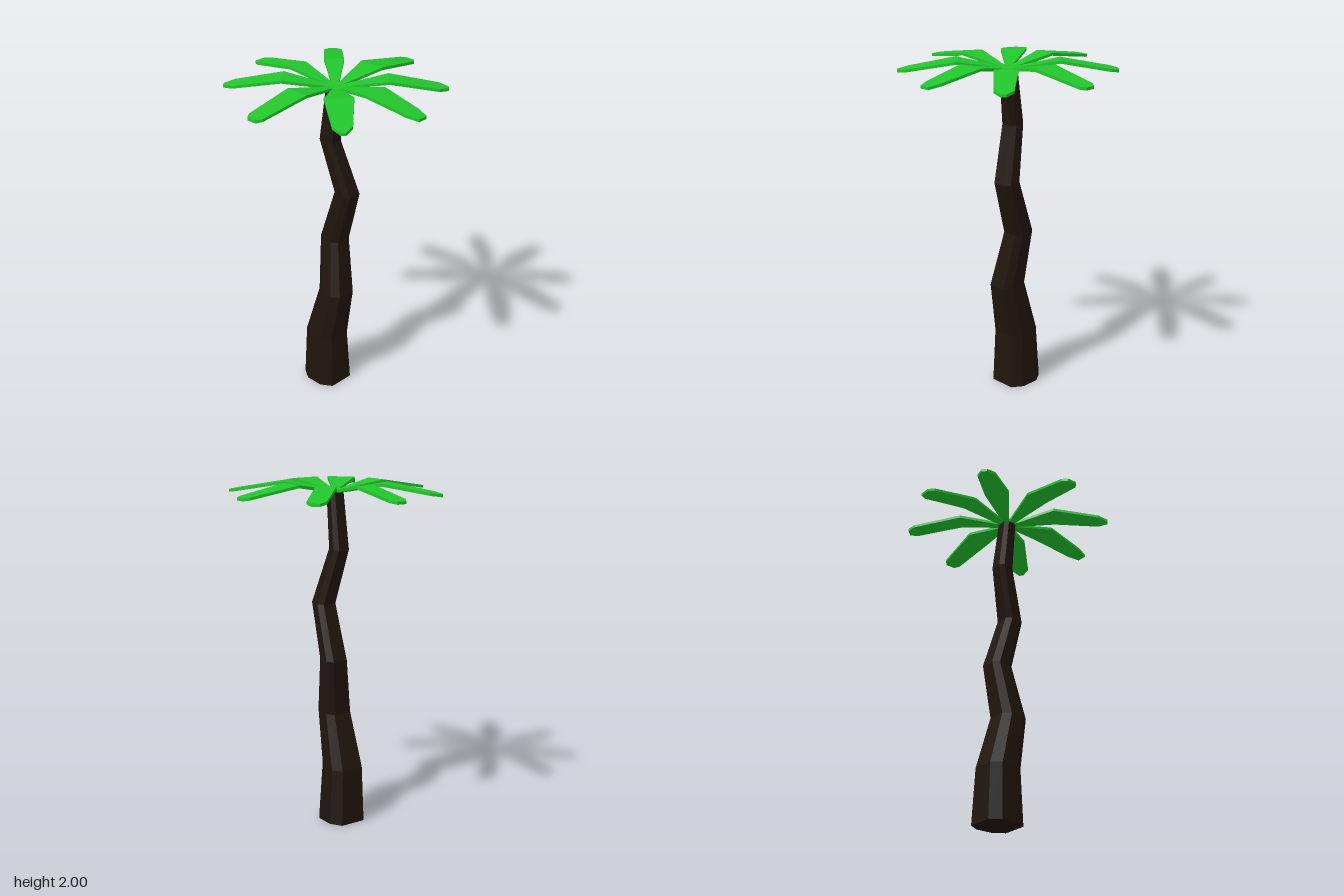
import * as THREE from 'three';

const bark = new THREE.MeshStandardMaterial({ color: 0x20150d, flatShading: true });
const green = new THREE.MeshStandardMaterial({ color: 0x22c52c, flatShading: true });

// Trunk rings from the ground up: [y, centre x, centre z, half width x, half width z]
const RINGS = [
  [0, -0.07, 0, 0.12, 0.12],
  [0.33, -0.07, 0.005, 0.105, 0.105],
  [0.65, 0.005, 0, 0.085, 0.085],
  [0.98, -0.045, -0.04, 0.07, 0.07],
  [1.3, 0.05, -0.043, 0.06, 0.062],
  [1.62, -0.04, 0.002, 0.05, 0.052],
  [1.945, -0.003, 0, 0.042, 0.045],
];

// Fronds: [angle from +x towards +z in degrees, half width at fold, shoulder radius, tip half width]
const FRONDS = [
  [-1, 0.08, 0.55, 0.03],
  [42, 0.08, 0.56, 0.014],
  [90, 0.072, 0.585, 0.03],
  [140, 0.073, 0.56, 0.016],
  [180, 0.06, 0.58, 0.03],
  [224, 0.057, 0.575, 0.025],
  [270, 0.08, 0.59, 0.03],
  [316, 0.067, 0.565, 0.014],
];

// Crooked tapering trunk with a chamfered eight-sided section
function makeTrunk() {
  const steps = RINGS.length - 1;
  const geo = new THREE.CylinderGeometry(1, 1, 1, 8, steps, false, Math.PI / 8);
  const p = geo.attributes.position;
  for (let i = 0; i < p.count; i++) {
    const [y, cx, cz, hx, hz] = RINGS[Math.round((p.getY(i) + 0.5) * steps)];
    let x = p.getX(i), z = p.getZ(i);
    if (Math.hypot(x, z) > 0.5) {
      const side = Math.abs(x) > Math.abs(z);
      x = Math.sign(x) * (side ? 1 : 0.45);
      z = Math.sign(z) * (side ? 0.65 : 1);
    }
    p.setXYZ(i, cx + x * hx, y, cz + z * hz);
  }
  geo.computeVertexNormals();
  const mesh = new THREE.Mesh(geo, bark);
  mesh.name = 'trunk';
  return mesh;
}

// Thin frond that rises to a fold, then droops to a blunt tip
function makeFrond([angle, foldWidth, shoulder, tipWidth]) {
  const tip = 0.617, thickness = 0.016;
  const droop = r => 2 - 0.055 * (r - 0.29) / (tip - 0.29);
  // stations: radius, top height, half width
  const stations = [
    [0, 1.955, 0.022],
    [0.06, 1.958, 0.022],
    [0.29, 2, foldWidth],
    [shoulder, droop(shoulder), 0.053],
    [tip, droop(tip), tipWidth],
  ];
  const steps = stations.length - 1;
  const geo = new THREE.BoxGeometry(1, 1, 1, steps, 1, 1);
  const p = geo.attributes.position;
  for (let i = 0; i < p.count; i++) {
    const [r, top, half] = stations[Math.round((p.getX(i) + 0.5) * steps)];
    p.setXYZ(i, r, top + (p.getY(i) - 0.5) * thickness, p.getZ(i) * 2 * half);
  }
  geo.computeVertexNormals();
  const mesh = new THREE.Mesh(geo, green);
  mesh.rotation.y = -THREE.MathUtils.degToRad(angle);
  mesh.name = 'frond';
  return mesh;
}

export function createModel() {
  const tree = new THREE.Group();
  tree.name = 'palmTree';
  const crown = new THREE.Group();
  crown.name = 'crown';
  FRONDS.forEach(f => crown.add(makeFrond(f)));
  tree.add(makeTrunk(), crown);
  return tree;
}
